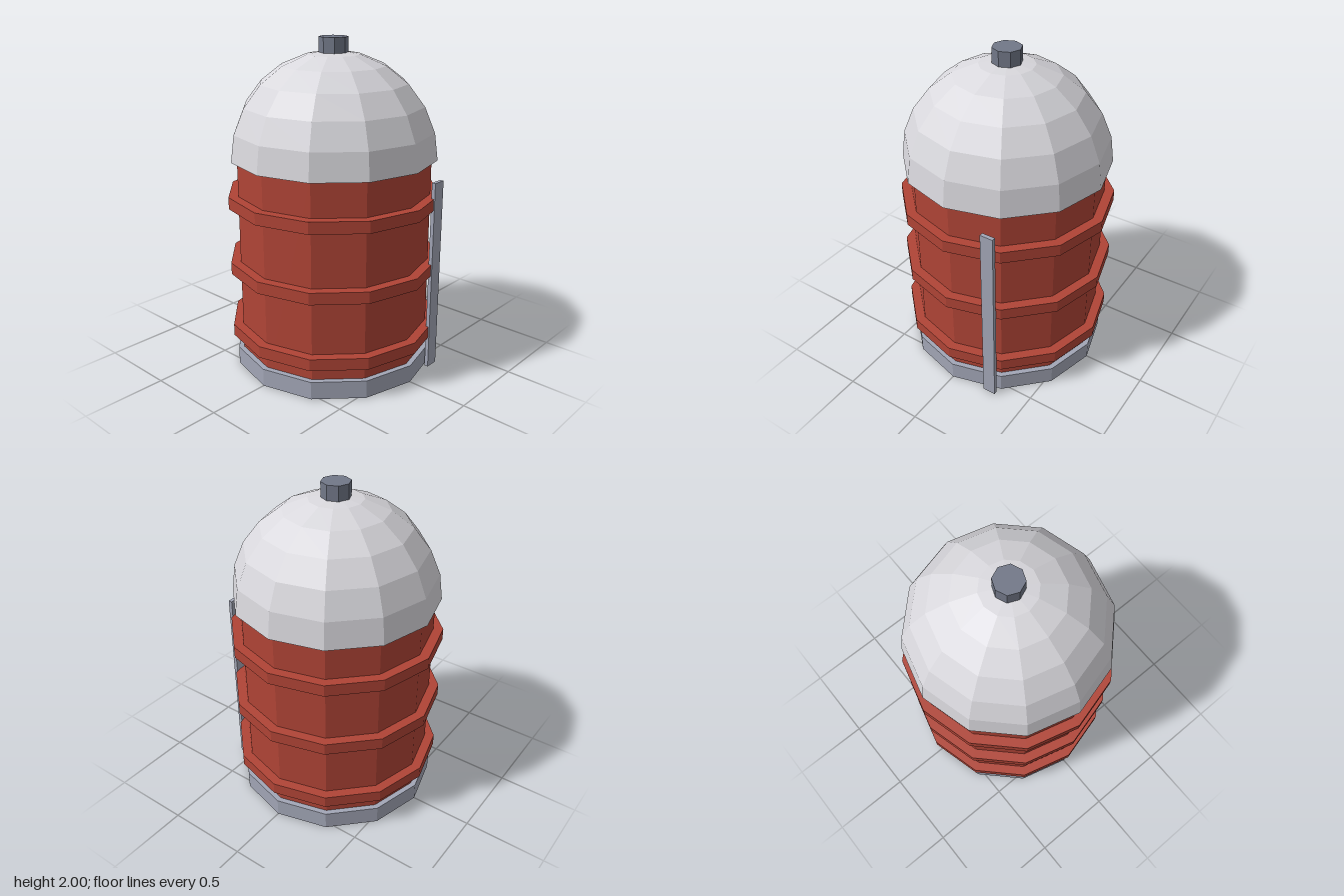
import * as THREE from 'three';

const SIDES = 12;

function material(name, color) {
  const m = new THREE.MeshStandardMaterial({ color, flatShading: true });
  m.name = name;
  return m;
}

export function createModel() {
  const red = material('red', 0xb04436);
  const metal = material('light metal', 0xa2a6b6);
  const slate = material('dark metal', 0x727888);
  const pale = material('pale grey', 0xd9d8dd);

  const model = new THREE.Group();
  model.name = 'silo';

  const add = (name, geometry, mat, x, y, z) => {
    const mesh = new THREE.Mesh(geometry, mat);
    mesh.name = name;
    mesh.position.set(x, y, z);
    model.add(mesh);
    return mesh;
  };

  // upright prism from y0 to y1
  const prism = (name, radius, y0, y1, mat, sides = SIDES) =>
    add(name, new THREE.CylinderGeometry(radius, radius, y1 - y0, sides), mat, 0, (y0 + y1) / 2, 0);

  // foundation and walls
  prism('base', 0.62, 0, 0.11, metal);
  prism('body', 0.587, 0.02, 1.31, red);

  // reinforcing bands
  for (const y of [0.235, 0.645, 1.057]) prism('band', 0.646, y - 0.036, y + 0.036, red);

  // half-sphere roof with a closed underside
  const R = 0.622;
  add('dome', new THREE.SphereGeometry(R, SIDES, 6, 0, Math.PI * 2, 0, Math.PI / 2), pale, 0, 1.3, 0);
  const underside = add('domeUnderside', new THREE.CircleGeometry(R, SIDES), pale, 0, 1.3, 0);
  underside.rotation.x = Math.PI / 2;

  // vent on the crown
  prism('vent', 0.087, 1.9, 2, slate, 8);

  // vertical rail on the front
  add('rail', new THREE.BoxGeometry(0.082, 1.19, 0.024), metal, 0.258, 0.595, 0.583);

  return model;
}
